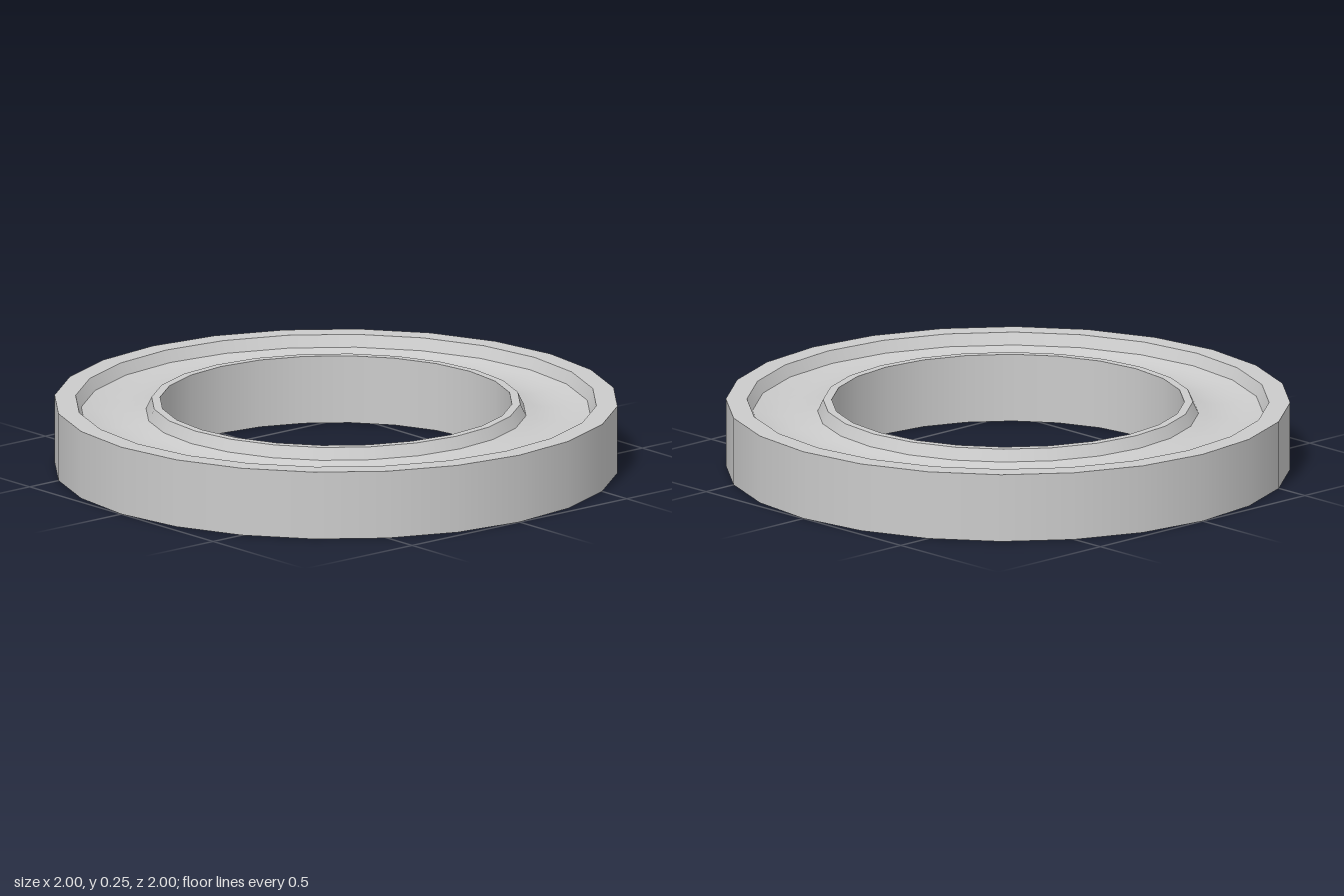
import * as THREE from 'three';
import { mergeGeometries } from 'three/addons/utils/BufferGeometryUtils.js';

const SIDES = 24;
const HEIGHT = 0.245;
const SEAL_Y = 0.203; // height of the seal where it meets the tapered walls
const SAG = 0.02; // depth of the shallow dish in the seal
const OUTER = { wall: 1, lip: 0.925, foot: 0.905 };
const INNER = { wall: 0.625, lip: 0.655, foot: 0.675 };

const material = new THREE.MeshStandardMaterial({ color: 0xcccccc });

// One smooth band around the axis; profile is [radius, y], counter-clockwise
const band = (profile) =>
  new THREE.LatheGeometry(profile.map(([r, y]) => new THREE.Vector2(r, y)), SIDES);

// Separate bands per profile segment keep the rim edges sharp
function race(name, profile) {
  const bands = profile.slice(1).map((p, i) => band([profile[i], p]));
  const mesh = new THREE.Mesh(mergeGeometries(bands), material);
  mesh.name = name;
  return mesh;
}

// Shallow dished ring between the two races
function seal(name, top) {
  const points = [];
  for (let i = 0; i <= 6; i++) {
    const t = i / 6;
    const r = THREE.MathUtils.lerp(OUTER.foot, INNER.foot, t);
    const y = SEAL_Y - SAG * 4 * t * (1 - t);
    points.push([r, top ? y : HEIGHT - y]);
  }
  if (!top) points.reverse();
  const mesh = new THREE.Mesh(band(points), material);
  mesh.name = name;
  return mesh;
}

export function createModel() {
  const group = new THREE.Group();
  group.name = 'bearingRing';
  const low = HEIGHT - SEAL_Y;

  group.add(
    race('outerRace', [
      [OUTER.foot, low], [OUTER.lip, 0], [OUTER.wall, 0],
      [OUTER.wall, HEIGHT], [OUTER.lip, HEIGHT], [OUTER.foot, SEAL_Y],
    ]),
    race('innerRace', [
      [INNER.foot, SEAL_Y], [INNER.lip, HEIGHT], [INNER.wall, HEIGHT],
      [INNER.wall, 0], [INNER.lip, 0], [INNER.foot, low],
    ]),
    seal('topSeal', true),
    seal('bottomSeal', false),
  );
  return group;
}
